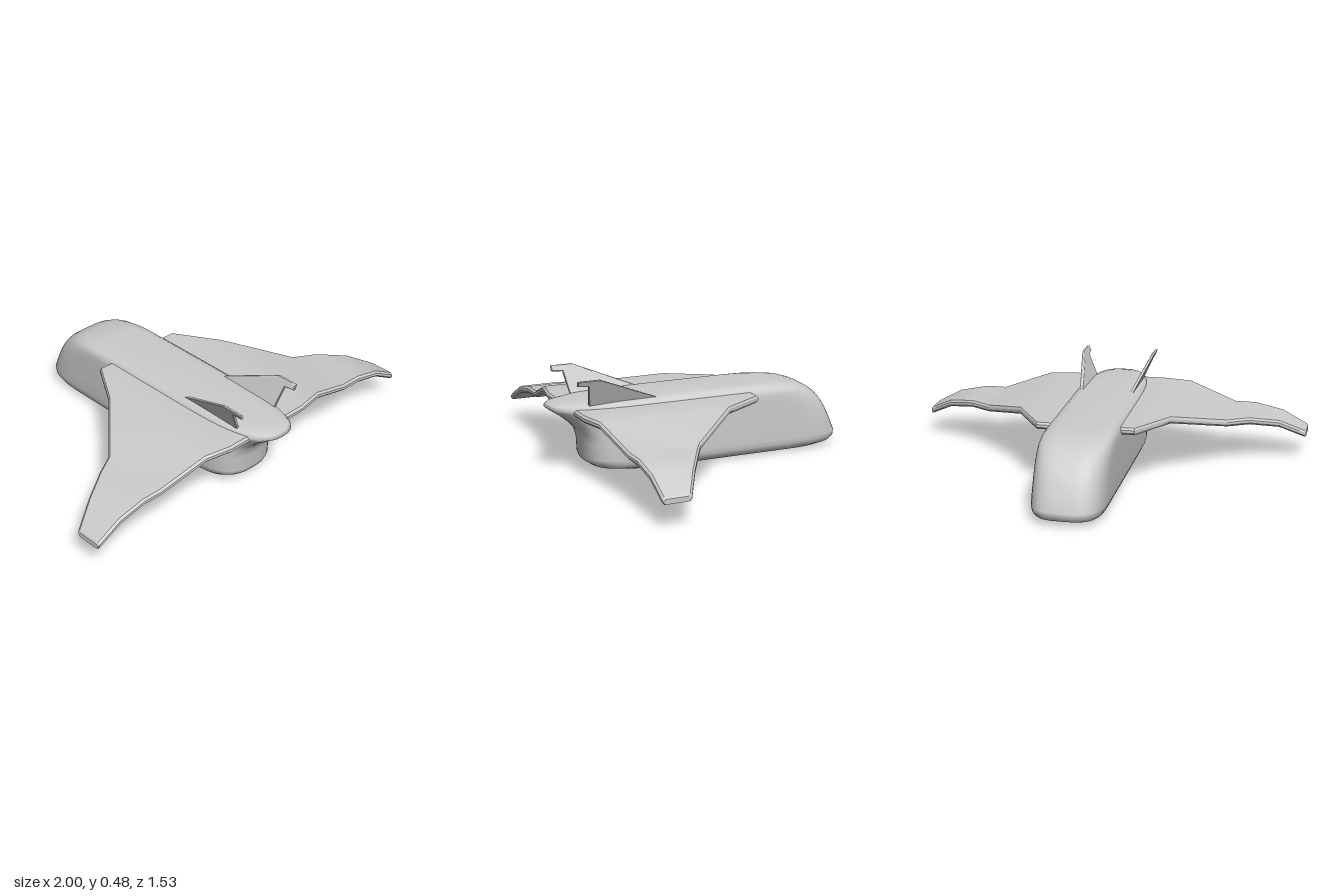
import * as THREE from 'three';
import { toCreasedNormals } from 'three/addons/utils/BufferGeometryUtils.js';

const material = new THREE.MeshStandardMaterial({ color: 0xcccccc });

// Skin a stack of closed rings and close both ends with fans
function loft(rings) {
  const n = rings[0].length;
  const pos = [], index = [];
  rings.forEach((ring) => ring.forEach((p) => pos.push(...p)));
  for (let i = 0; i < rings.length - 1; i++) {
    for (let j = 0; j < n; j++) {
      const k = (j + 1) % n;
      const a = i * n + j, b = i * n + k, c = b + n, d = a + n;
      index.push(a, b, d, b, c, d);
    }
  }
  [0, rings.length - 1].forEach((r) => {
    const mid = [0, 1, 2].map((q) => rings[r].reduce((s, p) => s + p[q], 0) / n);
    const m = pos.length / 3;
    pos.push(...mid);
    for (let j = 0; j < n; j++) {
      const a = r * n + j, b = r * n + ((j + 1) % n);
      if (r === 0) index.push(m, b, a);
      else index.push(m, a, b);
    }
  });
  const geo = new THREE.BufferGeometry();
  geo.setAttribute('position', new THREE.Float32BufferAttribute(pos, 3));
  geo.setIndex(index);
  geo.computeVertexNormals();
  return geo;
}

// Mirror across x = 0 and restore the winding (for non-indexed geometry)
function mirrored(geo) {
  const out = geo.clone();
  const p = out.attributes.position, q = geo.attributes.position;
  for (let i = 0; i < p.count; i++) {
    const s = i % 3 === 0 ? i : i % 3 === 1 ? i + 1 : i - 1;
    p.setXYZ(i, -q.getX(s), q.getY(s), q.getZ(s));
  }
  return toCreasedNormals(out, 0.35);
}

// Horizontal outline of the hull: two superelliptic ends joined by straight sides
function hullRing([y, zBack, zFront, halfWidth]) {
  const ring = [];
  const N = 24;
  const frontDepth = THREE.MathUtils.lerp(0.2, 0.5, THREE.MathUtils.smoothstep(y, 0.18, 0.32));
  const ends = [[zFront, frontDepth, 2.7, 1], [zBack, 0.28, 3.4, -1]];
  for (const [z, depth, power, dir] of ends) {
    for (let j = 0; j <= N; j++) {
      const a = (j / N - 0.5) * Math.PI;
      const s = Math.sin(a), c = Math.max(0, Math.cos(a));
      const x = Math.sign(s) * Math.abs(s) ** (2 / power) * halfWidth;
      ring.push([dir * x, y, z - dir * depth * (1 - c ** (2 / power))]);
    }
  }
  return ring;
}

function hullGeometry() {
  // y, rear z, front z, half width
  return loft([
    [0.004, -0.60, 0.30, 0.11],
    [0.012, -0.69, 0.44, 0.142],
    [0.03, -0.745, 0.545, 0.165],
    [0.05, -0.764, 0.575, 0.174],
    [0.075, -0.766, 0.586, 0.178],
    [0.15, -0.735, 0.59, 0.178],
    [0.20, -0.71, 0.605, 0.178],
    [0.24, -0.685, 0.64, 0.178],
    [0.28, -0.65, 0.69, 0.178],
    [0.31, -0.612, 0.735, 0.177],
    [0.33, -0.575, 0.762, 0.173],
    [0.345, -0.53, 0.75, 0.163],
    [0.357, -0.46, 0.69, 0.145],
    [0.364, -0.39, 0.52, 0.12],
  ].map(hullRing));
}

// Chordwise wing section with chamfered edges
function wingRing([x, y, z0, z1], inset = 0) {
  const h = 0.017 - inset, b = 0.01;
  const a = z0 + inset, c = z1 - inset;
  return [
    [h, a + b], [h, c - b], [h - b, c], [b - h, c],
    [-h, c - b], [-h, a + b], [b - h, a], [h - b, a],
  ].map(([dy, z]) => [x, y + dy, z]);
}

function wingGeometry() {
  // x, mid y, rear z, front z: a drooping gull wing
  const rings = [
    [0.10, 0.318, -0.25, 0.665],
    [0.24, 0.318, -0.25, 0.665],
    [0.378, 0.318, -0.03, 0.64],
    [0.62, 0.234, 0.24, 0.60],
    [0.725, 0.234, 0.30, 0.60],
    [0.868, 0.203, 0.385, 0.60],
    [0.993, 0.136, 0.457, 0.60],
  ].map((s) => wingRing(s));
  rings.push(wingRing([1.0, 0.132, 0.46, 0.60], 0.005));
  return toCreasedNormals(loft(rings), 0.35);
}

// Thin tail fin with a hooked tip, leaning outwards
function finGeometry() {
  const outline = [[0.19, 0.335], [0.555, 0.482], [0.663, 0.482], [0.663, 0.463], [0.607, 0.458], [0.585, 0.335]];
  const shape = new THREE.Shape(outline.map(([z, y]) => new THREE.Vector2(z, y)));
  const geo = new THREE.ExtrudeGeometry(shape, {
    depth: 0.01, bevelSize: 0.003, bevelThickness: 0.003, bevelSegments: 1,
  });
  geo.rotateY(-Math.PI / 2);
  const p = geo.attributes.position;
  for (let i = 0; i < p.count; i++) {
    p.setX(i, p.getX(i) + 0.108 + (p.getY(i) - 0.3) * 0.44);
  }
  return toCreasedNormals(geo, 0.35);
}

export function createModel() {
  const model = new THREE.Group();
  const add = (name, geo) => {
    const mesh = new THREE.Mesh(geo, material);
    mesh.name = name;
    model.add(mesh);
  };

  add('hull', hullGeometry());

  const wing = wingGeometry();
  add('leftWing', wing);
  add('rightWing', mirrored(wing));

  const fin = finGeometry();
  add('leftFin', fin);
  add('rightFin', mirrored(fin));

  return model;
}
